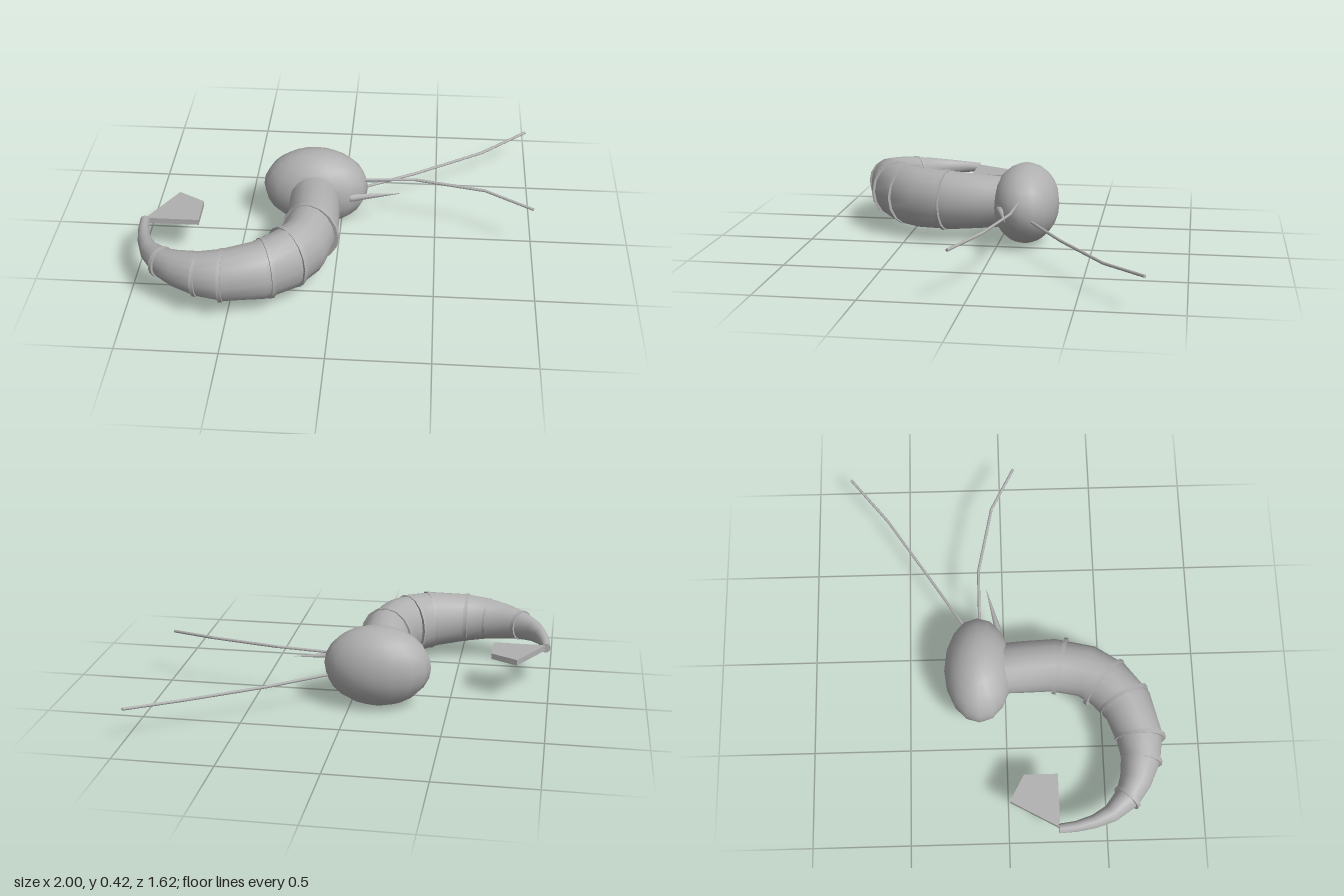
import * as THREE from 'three';
import { toCreasedNormals } from 'three/addons/utils/BufferGeometryUtils.js';

const MID = 0.212; // height of the body's centreline
const shell = new THREE.MeshStandardMaterial({ color: 0xb0b0b0 });
shell.name = 'grey shell';

function part(name, geometry, parent) {
  const mesh = new THREE.Mesh(geometry, shell);
  mesh.name = name;
  parent.add(mesh);
  return mesh;
}

// Skin over oval sections { x, z, tx, tz, r (sideways), h (upwards) }, capped at both ends
function loft(sections, sides) {
  const pos = [], index = [];
  for (const s of sections) {
    const len = Math.hypot(s.tx, s.tz);
    const nx = s.tz / len, nz = -s.tx / len;
    for (let j = 0; j < sides; j++) {
      const a = (j / sides) * Math.PI * 2;
      const w = Math.cos(a) * s.r;
      pos.push(s.x + nx * w, MID + Math.sin(a) * s.h, s.z + nz * w);
    }
  }
  const last = sections.length - 1;
  for (let i = 0; i < last; i++) {
    for (let j = 0; j < sides; j++) {
      const k = (j + 1) % sides;
      const a = i * sides + j, b = i * sides + k;
      index.push(a, b, a + sides, b, b + sides, a + sides);
    }
  }
  for (let j = 1; j < sides - 1; j++) {
    index.push(0, j + 1, j);
    index.push(last * sides, last * sides + j, last * sides + j + 1);
  }
  const g = new THREE.BufferGeometry();
  g.setAttribute('position', new THREE.Float32BufferAttribute(pos, 3));
  g.setIndex(index);
  return toCreasedNormals(g, Math.PI / 3.5);
}

// Straight rod or cone between two points
function rod(name, a, b, r0, r1, sides, parent) {
  const dir = b.clone().sub(a);
  const mesh = part(name, new THREE.CylinderGeometry(r1, r0, dir.length(), sides), parent);
  mesh.position.copy(a).add(b).multiplyScalar(0.5);
  mesh.quaternion.setFromUnitVectors(new THREE.Vector3(0, 1, 0), dir.normalize());
  return mesh;
}

export function createModel() {
  const model = new THREE.Group();
  model.name = 'shrimp';

  // Head
  const head = part('head', new THREE.SphereGeometry(1, 16, 12), model);
  head.scale.set(0.275, 0.21, 0.177);
  head.position.set(-0.135, 0.21, -0.137);

  // Curled, tapering body: x, z, half width, half height
  const stations = [
    [-0.13, -0.03, 0.13, 0.132], [-0.125, 0.1, 0.132, 0.146], [-0.12, 0.25, 0.133, 0.158],
    [-0.157, 0.42, 0.131, 0.163], [-0.232, 0.53, 0.131, 0.163], [-0.35, 0.624, 0.129, 0.152],
    [-0.52, 0.673, 0.118, 0.132], [-0.635, 0.67, 0.099, 0.116], [-0.745, 0.637, 0.08, 0.098],
    [-0.828, 0.592, 0.065, 0.079], [-0.905, 0.508, 0.046, 0.06], [-0.945, 0.42, 0.034, 0.045],
    [-0.967, 0.33, 0.027, 0.033], [-0.975, 0.245, 0.024, 0.025],
  ];
  part('body', loft(stations.map(([x, z, r, h], i) => {
    const p = stations[Math.max(i - 1, 0)], n = stations[Math.min(i + 1, stations.length - 1)];
    return { x, z, r, h, tx: n[0] - p[0], tz: n[1] - p[1] };
  }), 16), model);

  // Shell bands: outer end x, z, inner end x, z, half height
  const bands = [
    [0.018, 0.325, -0.268, 0.245, 0.164], [-0.115, 0.612, -0.325, 0.402, 0.166],
    [-0.258, 0.728, -0.375, 0.478, 0.16], [-0.52, 0.804, -0.52, 0.545, 0.134],
    [-0.655, 0.778, -0.615, 0.57, 0.114], [-0.877, 0.65, -0.778, 0.535, 0.083],
  ];
  for (const [ox, oz, ix, iz, h] of bands) {
    const dx = ox - ix, dz = oz - iz, len = Math.hypot(dx, dz);
    const tx = -dz / len, tz = dx / len;
    part('shellBand', loft([-0.01, 0.01].map((d) => ({
      x: (ox + ix) / 2 + tx * d, z: (oz + iz) / 2 + tz * d, tx, tz, r: len / 2, h,
    })), 16), model);
  }

  // Flat tail fan, drawn in plan and laid level
  const plan = [[-0.972, 0.25], [-0.7, 0.25], [-0.7, 0.08], [-0.835, 0.005]];
  const outline = new THREE.Shape(plan.map(([x, z]) => new THREE.Vector2(x, -z)));
  const fan = new THREE.ExtrudeGeometry(outline, { depth: 0.03, bevelEnabled: false });
  fan.rotateX(-Math.PI / 2);
  part('tailFan', fan, model).position.y = MID - 0.015;

  // Pointed beak
  const beak = rod('beak', new THREE.Vector3(0.05, 0.213, -0.022),
    new THREE.Vector3(0.31, 0.212, -0.086), 0.022, 0.001, 8, model);
  beak.scale.z = 0.9;

  // Two long jointed feelers
  const feelers = {
    leftFeeler: [[0.08, 0.26, -0.125], [0.39, 0.275, -0.125], [0.75, 0.275, -0.048], [0.995, 0.254, 0.075]],
    rightFeeler: [[0.08, 0.168, -0.178], [0.39, 0.152, -0.375], [0.75, 0.152, -0.61], [0.995, 0.172, -0.81]],
  };
  for (const [name, path] of Object.entries(feelers)) {
    const group = new THREE.Group();
    group.name = name;
    const pts = path.map((p) => new THREE.Vector3(...p));
    for (let i = 0; i < pts.length - 1; i++) {
      rod('feelerSegment', pts[i], pts[i + 1], 0.0075, 0.0075, 8, group);
    }
    model.add(group);
  }
  return model;
}
